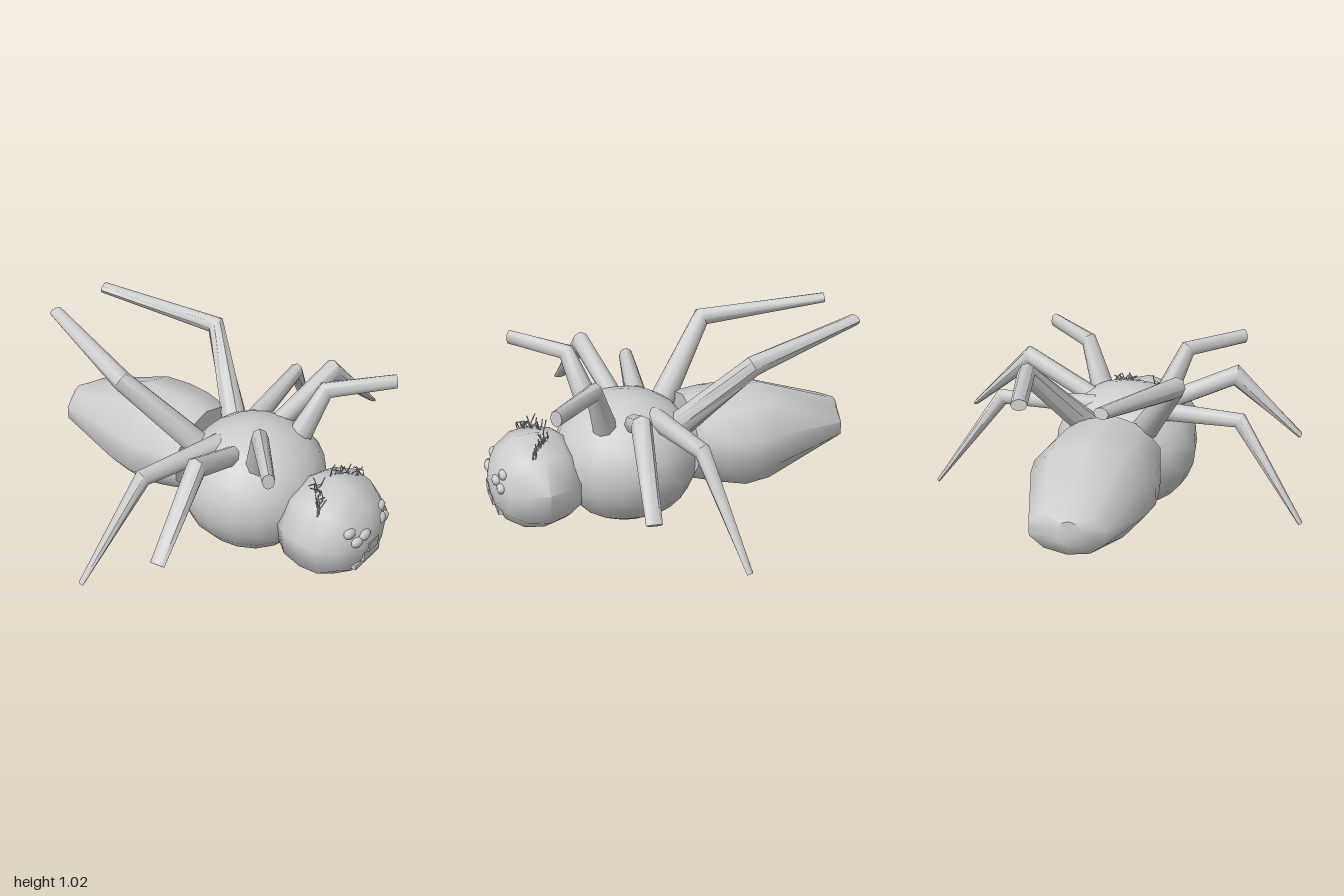
import * as THREE from 'three';
import { mergeGeometries, toCreasedNormals } from 'three/addons/utils/BufferGeometryUtils.js';

const V = (x, y, z) => new THREE.Vector3(x, y, z);

// Closed skin over equal-sized rings of points, capped at both ends
function skin(rings, crease = 1.0) {
  const n = rings[0].length, pos = [], index = [];
  rings.flat().forEach(p => pos.push(p.x, p.y, p.z));
  for (let i = 0; i < rings.length - 1; i++) {
    for (let j = 0; j < n; j++) {
      const k = (j + 1) % n, a = i * n + j, b = i * n + k;
      index.push(a, b, b + n, a, b + n, a + n);
    }
  }
  [0, rings.length - 1].forEach((r, end) => {
    const c = rings[r].reduce((s, p) => s.add(p), V(0, 0, 0)).divideScalar(n);
    const ci = pos.length / 3;
    pos.push(c.x, c.y, c.z);
    for (let j = 0; j < n; j++) {
      const a = r * n + j, b = r * n + (j + 1) % n;
      if (end) index.push(ci, a, b); else index.push(ci, b, a);
    }
  });
  const g = new THREE.BufferGeometry();
  g.setAttribute('position', new THREE.Float32BufferAttribute(pos, 3));
  g.setIndex(index);
  return toCreasedNormals(g, crease);
}

// Body shape from elliptical sections [z, centreX, centreY, radiusX, radiusY], rear to front
function bodyLoft(sections, sides) {
  return skin(sections.map(([z, cx, cy, rx, ry]) =>
    Array.from({ length: sides }, (_, j) => {
      const a = Math.PI / 2 + j / sides * Math.PI * 2;
      return V(cx + rx * Math.cos(a), cy + ry * Math.sin(a), z);
    })));
}

// Slightly boxy ball: sphere vertices pushed out along the diagonals
function boxyBall(power) {
  const g = new THREE.SphereGeometry(1, 18, 12), pos = g.attributes.position;
  for (let i = 0; i < pos.count; i++) {
    const p = V(0, 0, 0).fromBufferAttribute(pos, i);
    const sum = p.toArray().reduce((s, c) => s + Math.abs(c) ** power, 0);
    p.divideScalar(sum ** (1 / power));
    pos.setXYZ(i, p.x, p.y, p.z);
  }
  return g;
}

// Jointed leg: ring at the base, a mitred ring at the knee, and a flattened one at the tip
function legGeometry(points, radii, flatness, sides = 8) {
  const p = points.map(q => V(...q));
  const d1 = p[1].clone().sub(p[0]).normalize(), d2 = p[2].clone().sub(p[1]).normalize();
  const mid = d1.clone().add(d2).normalize();
  const depth = [1, 1 / Math.max(0.7, mid.dot(d1)), flatness];
  const rings = [d1, mid, d2].map((t, i) => {
    const u = V(0, 1, 0).cross(t).normalize(), v = t.clone().cross(u);
    return Array.from({ length: sides }, (_, j) => {
      const a = j / sides * Math.PI * 2;
      return p[i].clone().addScaledVector(u, radii[i] * Math.cos(a))
        .addScaledVector(v, radii[i] * depth[i] * Math.sin(a));
    });
  });
  return skin(rings, 0.9);
}

let seed = 7;
const rand = () => (seed = (seed * 16807) % 2147483647) / 2147483647;

export function createModel() {
  const group = new THREE.Group();
  const grey = new THREE.MeshStandardMaterial({ color: 0xcccccc });
  grey.name = 'lightGrey';
  const add = (name, geometry, parent = group) => {
    const m = new THREE.Mesh(geometry, grey);
    m.name = name;
    parent.add(m);
    return m;
  };

  // Round middle body
  const thorax = add('thorax', boxyBall(2.2));
  thorax.scale.set(0.38, 0.33, 0.365);
  thorax.position.set(0.0, 0.33, 0.24);

  // Faceted head
  add('head', bodyLoft([
    [0.53, 0.01, 0.27, 0.22, 0.18],
    [0.60, 0.01, 0.275, 0.28, 0.23],
    [0.71, 0.02, 0.275, 0.32, 0.25],
    [0.81, 0.01, 0.27, 0.30, 0.24],
    [0.90, 0.01, 0.265, 0.23, 0.18],
    [0.95, 0.01, 0.27, 0.12, 0.10],
    [0.965, 0.01, 0.27, 0.03, 0.03],
  ], 9));

  // Long abdomen, blunt in front and tapering to a small faceted end
  add('abdomen', bodyLoft([
    [-0.965, -0.04, 0.40, 0.06, 0.065],
    [-0.915, -0.01, 0.375, 0.19, 0.11],
    [-0.50, 0.01, 0.37, 0.305, 0.265],
    [-0.36, 0.015, 0.365, 0.33, 0.268],
    [-0.22, 0.01, 0.38, 0.315, 0.25],
    [-0.075, 0.0, 0.39, 0.27, 0.225],
  ], 10));

  // Legs: base, knee, tip on the left side, mirrored to the right
  const legs = [
    ['rearLeg', [[0.14, 0.50, 0.01], [0.375, 0.89, -0.31], [0.185, 0.995, -0.945]], [0.07, 0.048, 0.038], 0.7],
    ['backMiddleLeg', [[0.15, 0.58, 0.13], [0.64, 0.605, 0.045], [0.99, 0.12, -0.07]], [0.055, 0.04, 0.018], 0.5],
    ['frontMiddleLeg', [[0.15, 0.56, 0.24], [0.57, 0.745, 0.32], [0.92, 0.42, 0.37]], [0.05, 0.05, 0.038], 0.35],
    ['frontLeg', [[0.15, 0.50, 0.37], [0.28, 0.815, 0.47], [0.55, 0.83, 0.715]], [0.07, 0.042, 0.03], 1.35],
  ];
  for (const [name, points, radii, flatness] of legs) {
    for (const s of [1, -1]) {
      const side = s > 0 ? 'Left' : 'Right';
      add(name + side, legGeometry(points.map(([x, y, z]) => [x * s, y, z]), radii, flatness));
    }
  }

  // Clusters of three oval eyes on each side of the face
  const eyes = new THREE.Group();
  eyes.name = 'eyes';
  group.add(eyes);
  [[-0.13, 0.37, 0.905], [-0.105, 0.318, 0.935], [-0.055, 0.338, 0.945],
    [0.14, 0.375, 0.905], [0.105, 0.335, 0.935], [0.155, 0.308, 0.922]].forEach(([x, y, z]) => {
    const eye = add('eye', new THREE.SphereGeometry(1, 10, 8), eyes);
    eye.scale.set(0.042, 0.028, 0.025);
    eye.position.set(x, y, z);
    eye.rotation.z = x * 1.5;
  });

  // Stepped nose and mouth bars
  const face = new THREE.Group();
  face.name = 'noseAndMouth';
  group.add(face);
  [[0.005, 0.255, 0.08, 0.05, 0.968], [0.005, 0.205, 0.14, 0.05, 0.960],
    [0.005, 0.155, 0.22, 0.028, 0.940]].forEach(([x, y, w, h, z]) => {
    add('faceBar', new THREE.BoxGeometry(w, h, 0.06), face).position.set(x, y, z - 0.03);
  });

  // Scraggly brow tufts made of thin crooked hairs
  for (const s of [1, -1]) {
    const hairs = [];
    for (let i = 0; i < 18; i++) {
      const t = i / 17;
      const x = s * (0.06 + 0.14 * t), z = 0.66 + 0.10 * t, y = 0.51 - 0.035 * t;
      const wob = k => (rand() - 0.5) * k;
      const path = new THREE.CatmullRomCurve3([
        V(x, y - 0.03, z),
        V(x + wob(0.05), y + 0.01, z + wob(0.04)),
        V(x + wob(0.08), y + 0.01 + rand() * 0.045, z + wob(0.06)),
      ]);
      hairs.push(new THREE.TubeGeometry(path, 4, 0.003, 4));
    }
    add(s > 0 ? 'browTuftLeft' : 'browTuftRight', mergeGeometries(hairs));
  }

  return group;
}
